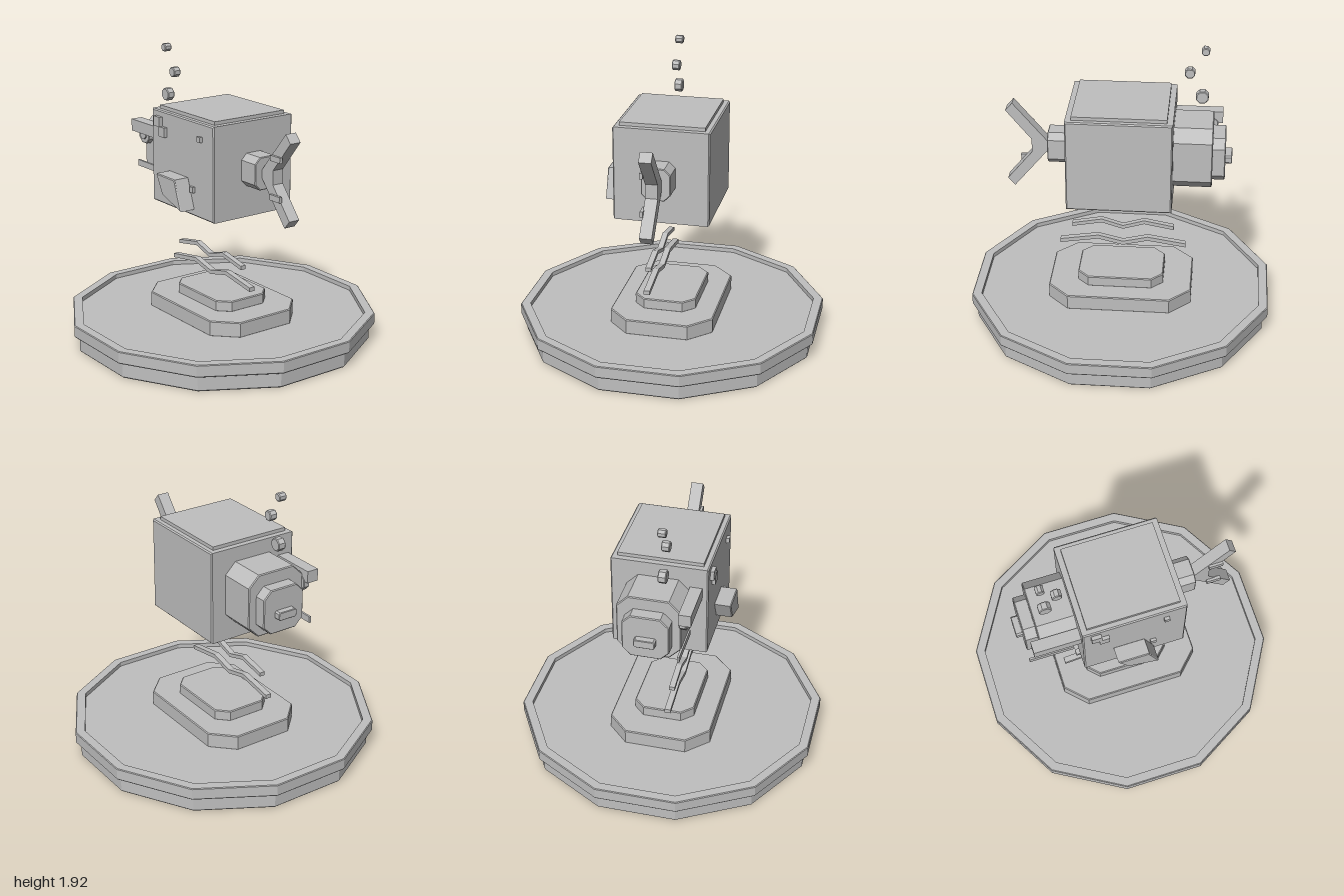
import * as THREE from 'three';

export function createModel() {
  const model = new THREE.Group();
  model.name = 'blockFishOnStand';
  const grey = new THREE.MeshStandardMaterial({ color: 0xbfbfbf });
  grey.name = 'plain grey';

  const add = (name, geometry, parent = model) => {
    const mesh = new THREE.Mesh(geometry, grey);
    mesh.name = name;
    parent.add(mesh);
    return mesh;
  };
  const group = (name) => {
    const g = new THREE.Group();
    g.name = name;
    model.add(g);
    return g;
  };

  // Outline extruded from z0 to z1, with an optional small bevel kept inside the outline
  const slab = (pts, z0, z1, bevel = 0) => {
    const shape = new THREE.Shape(pts.map(([x, y]) => new THREE.Vector2(x, y)));
    const geo = new THREE.ExtrudeGeometry(shape, {
      depth: z1 - z0 - 2 * bevel, bevelEnabled: bevel > 0, bevelSegments: 1,
      bevelSize: bevel, bevelThickness: bevel, bevelOffset: -bevel,
    });
    return geo.translate(0, 0, z0 + bevel);
  };
  const rect = (x0, x1, y0, y1) => [[x0, y0], [x1, y0], [x1, y1], [x0, y1]];
  // Rectangle with cut corners
  const cut = (x0, x1, y0, y1, c) => [
    [x0 + c, y0], [x1 - c, y0], [x1, y0 + c], [x1, y1 - c],
    [x1 - c, y1], [x0 + c, y1], [x0, y1 - c], [x0, y0 + c],
  ];
  // Cut-corner block whose outline lies in the y-z plane, running along x
  const blockX = (x0, x1, y0, y1, z0, z1, c, bevel) =>
    slab(cut(-z1, -z0, y0, y1, c), x0, x1, bevel).rotateY(Math.PI / 2);
  // Cut-corner block whose outline lies in the x-z plane, running along y
  const blockY = (y0, y1, x, z, c, bevel) =>
    slab(cut(-x, x, -z, z, c), y0, y1, bevel).rotateX(-Math.PI / 2);
  const octagon = (x, y, r) => Array.from({ length: 8 }, (_, i) => {
    const a = (i + 0.5) * Math.PI / 4;
    return [x + r * Math.cos(a), y + r * Math.sin(a)];
  });

  // Twelve-sided stand with a raised rim
  const stand = group('stand');
  const profile = [[0, 0], [0.992, 0], [1, 0.008], [1, 0.108], [1.03, 0.108],
    [1.035, 0.114], [1.035, 0.185], [1.03, 0.19], [0.97, 0.19], [0.97, 0.16], [0, 0.16]];
  const base = new THREE.LatheGeometry(
    profile.map(([x, y]) => new THREE.Vector2(x, y)), 12, Math.PI / 12).toNonIndexed();
  base.computeVertexNormals();
  add('base', base, stand);
  add('lowerStep', blockY(0.155, 0.26, 0.48, 0.345, 0.14, 0.006), stand);
  add('upperStep', blockY(0.255, 0.33, 0.288, 0.205, 0.075, 0.006), stand);

  // Zigzag water ribbons
  const ribbon = (pts, t, z0, z1) => slab([
    ...pts.map(([x, y]) => [x, y - t / 2]),
    ...pts.map(([x, y]) => [x, y + t / 2]).reverse(),
  ], z0, z1);
  const water = group('water');
  add('lowerWave', ribbon([[-0.43, 0.446], [-0.17, 0.487], [0, 0.446], [0.17, 0.487], [0.43, 0.446]],
    0.028, 0.055, 0.095), water);
  add('upperWave', ribbon([[-0.347, 0.573], [-0.145, 0.611], [0, 0.567], [0.145, 0.611], [0.347, 0.573]],
    0.026, 0.065, 0.103), water);

  // Body
  add('body', slab(rect(-0.343, 0.34, 0.912, 1.54), -0.315, 0.315, 0.008));
  add('backPlate', slab(rect(-0.305, 0.302, 1.535, 1.563), -0.278, 0.278));

  // Square scales on the front side
  const scales = group('scales');
  [[-0.29, 1.435, 0.065], [-0.24, 1.372, 0.066], [0.186, 1.418, 0.035], [0.102, 1.07, 0.038]]
    .forEach(([x, y, s], i) =>
      add('scale' + (i + 1), slab(rect(x, x + s, y, y + s), 0.31, 0.34 - i * 0.002), scales));
  add('sideFin', slab([[-0.145, 1.155], [-0.08, 1.025], [0.13, 0.957], [0.062, 1.155]], 0.31, 0.423, 0.006));

  // Head, snout and mouth
  add('head', blockX(-0.595, -0.335, 1.02, 1.443, -0.21, 0.202, 0.075, 0.006));
  add('snout', blockX(-0.677, -0.585, 1.06, 1.36, -0.155, 0.147, 0.055, 0.006));
  add('lips', blockX(-0.72, -0.67, 1.16, 1.215, -0.07, 0.066, 0.01, 0.004));
  add('mouthLine', slab(rect(-0.68, -0.38, 1.058, 1.1), 0.198, 0.212));

  // Eyes with heavy brows
  [['right', -0.56, -0.652, -0.47], ['left', -0.392, -0.47, -0.335]].forEach(([side, x, b0, b1]) => {
    add(side + 'Eye', slab(octagon(x, 1.307, 0.066), 0.195, 0.24, 0.005));
    add(side + 'Pupil', slab(octagon(x, 1.31, 0.036), 0.238, 0.25));
    add(side + 'Brow', slab(rect(b0, b1, 1.322, 1.402), 0.198, 0.278));
  });

  // Tail
  add('tailStem', blockX(0.33, 0.482, 1.12, 1.335, -0.095, 0.095, 0.04, 0.005));
  add('tailFin', slab([[0.48, 1.2], [0.71, 0.925], [0.756, 0.978], [0.59, 1.178],
    [0.59, 1.272], [0.756, 1.475], [0.71, 1.528], [0.48, 1.255]], -0.04, 0.04));
  add('upperTailScale', slab(rect(0.58, 0.675, 1.336, 1.373), 0.035, 0.056));
  add('lowerTailScale', slab(rect(0.58, 0.675, 1.082, 1.12), 0.035, 0.056));

  // Rising bubbles
  const bubbles = group('bubbles');
  [[-0.513, 1.572, 0.044], [-0.43, 1.737, 0.035], [-0.527, 1.89, 0.028]].forEach(([x, y, r], i) =>
    add('bubble' + (i + 1), slab(octagon(x, y, r), 0.044, 0.097, 0.005), bubbles));

  return model;
}
